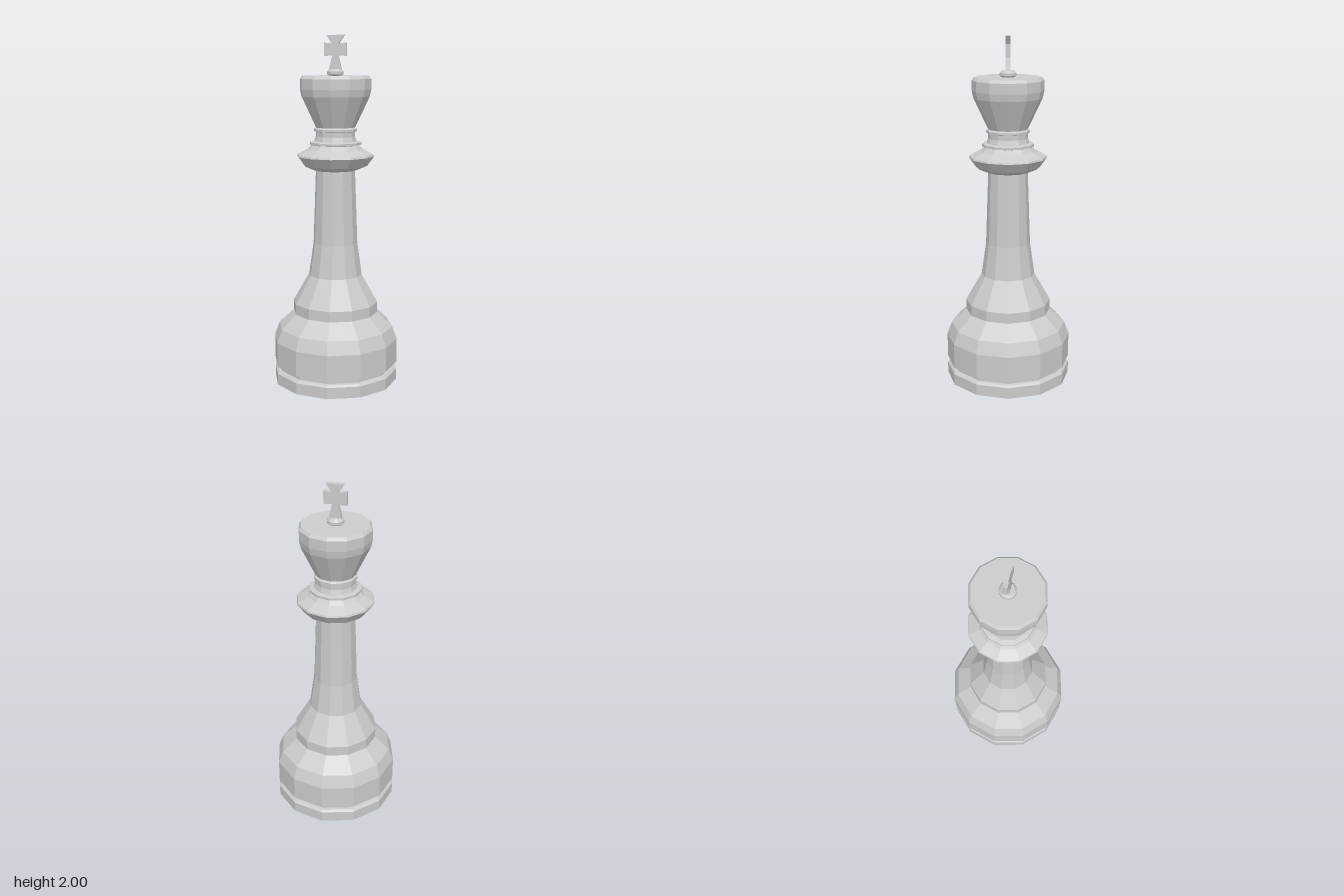
import * as THREE from 'three';

const material = new THREE.MeshStandardMaterial({ color: 0xcccccc, flatShading: true });

// Turned part from [radius, height] pairs, listed bottom to top
function turned(name, profile, sides = 12) {
  const points = profile.map(([r, y]) => new THREE.Vector2(r, y));
  const mesh = new THREE.Mesh(new THREE.LatheGeometry(points, sides), material);
  mesh.name = name;
  return mesh;
}

// Flat cross with flared arms, mirrored from its right half
function cross() {
  const half = [
    [0.036, 1.805], [0.017, 1.888], [0.063, 1.884],
    [0.063, 1.958], [0.02, 1.953], [0.051, 2.0],
  ];
  const outline = [...half, ...half.map(([x, y]) => [-x, y]).reverse()];
  const shape = new THREE.Shape(outline.map(([x, y]) => new THREE.Vector2(x, y)));
  const depth = 0.028;
  const geometry = new THREE.ExtrudeGeometry(shape, { depth, bevelEnabled: false });
  geometry.translate(0, 0, -depth / 2);
  const mesh = new THREE.Mesh(geometry, material);
  mesh.name = 'cross';
  return mesh;
}

export function createModel() {
  const king = new THREE.Group();
  king.name = 'chessKing';
  king.add(
    // Foot disc and the groove above it
    turned('foot', [[0, 0], [0.363, 0], [0.363, 0.065], [0.352, 0.076], [0.335, 0.078], [0.335, 0.105]]),
    // Heavy rounded base
    turned('base', [[0.335, 0.105], [0.363, 0.107], [0.363, 0.25], [0.335, 0.325], [0.247, 0.408]]),
    // Stepped skirt sweeping into the tall stem
    turned('stem', [[0.247, 0.408], [0.247, 0.468], [0.155, 0.63], [0.128, 0.82], [0.113, 1.245]]),
    // Wide collar
    turned('collar', [[0.113, 1.243], [0.125, 1.243], [0.183, 1.268], [0.222, 1.322], [0.218, 1.332], [0.16, 1.362], [0.135, 1.388]]),
    // Neck with two thin rings
    turned('neck', [[0.135, 1.386], [0.148, 1.389], [0.148, 1.402], [0.122, 1.408], [0.113, 1.435],
      [0.113, 1.462], [0.123, 1.465], [0.123, 1.478], [0.113, 1.486]]),
    // Flared head with a flat top
    turned('head', [[0.113, 1.486], [0.155, 1.575], [0.195, 1.66], [0.203, 1.7], [0.203, 1.758], [0.19, 1.775], [0, 1.775]]),
    // Small knob below the cross
    turned('knob', [[0.034, 1.775], [0.047, 1.783], [0.047, 1.798], [0.034, 1.812], [0, 1.812]]),
    cross(),
  );
  return king;
}
